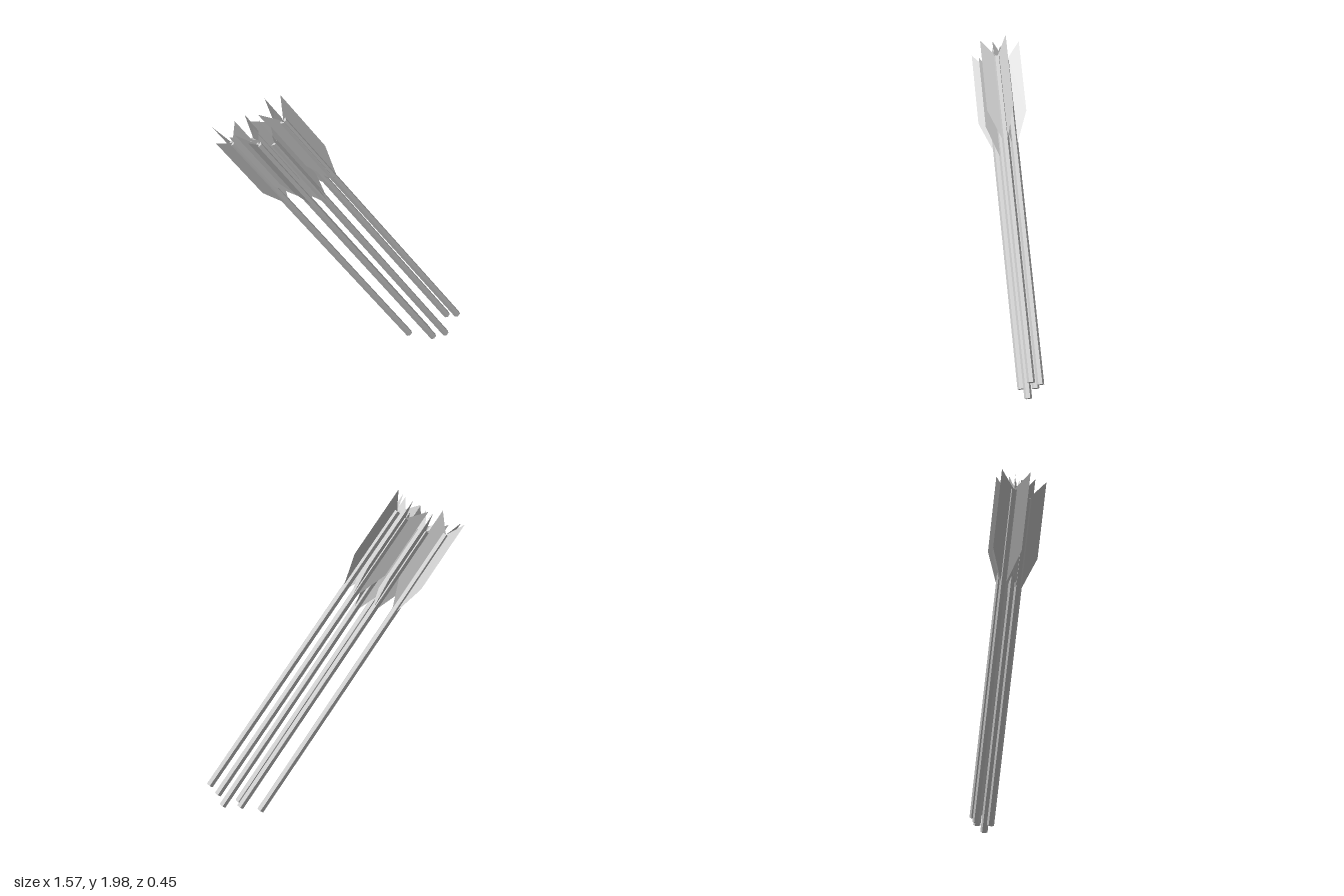
import * as THREE from 'three';

const SHAFT_LENGTH = 2.05;
const SHAFT_RADIUS = 0.023;

// Each arrow: foot position, sideways lean per unit of height, roll of its fins in degrees
const ARROWS = [
  { foot: [0.45, 0.02, -0.18], lean: 0.665, roll: 0 },
  { foot: [0.575, 0.04, -0.175], lean: 0.667, roll: -70 },
  { foot: [0.595, 0.045, -0.09], lean: 0.667, roll: -24 },
  { foot: [0.69, 0.03, -0.13], lean: 0.667, roll: -55 },
  { foot: [0.71, 0.13, -0.2], lean: 0.676, roll: -72 },
  { foot: [0.765, 0.17, -0.145], lean: 0.682, roll: -42 },
];

const material = new THREE.MeshStandardMaterial({ color: 0xcccccc, flatShading: true });
const finMaterial = new THREE.MeshStandardMaterial({ color: 0xcccccc, side: THREE.DoubleSide });

// Fin outline: x is distance from the axis, y is distance along the shaft
function finGeometry() {
  const outline = [[0, 1.47], [0.02, 1.5], [0.098, 1.695], [0.098, 2.16], [0.02, 2.07], [0, 2.05]];
  return new THREE.ShapeGeometry(new THREE.Shape(outline.map(([x, y]) => new THREE.Vector2(x, y))));
}

function createArrow({ foot, lean, roll }, shaftGeo, finGeo) {
  const arrow = new THREE.Group();
  arrow.name = 'arrow';

  const shaft = new THREE.Mesh(shaftGeo, material);
  shaft.name = 'shaft';
  arrow.add(shaft);

  // Three fins evenly spaced round the tail
  for (let i = 0; i < 3; i++) {
    const fin = new THREE.Mesh(finGeo, finMaterial);
    fin.name = 'fin';
    fin.rotation.y = -THREE.MathUtils.degToRad(roll + i * 120);
    arrow.add(fin);
  }

  // Lean the arrow back to the side, keeping its local z close to the front
  const along = new THREE.Vector3(-lean, 1, 0.122).normalize();
  const side = new THREE.Vector3().crossVectors(along, new THREE.Vector3(0, 0, 1)).normalize();
  const front = new THREE.Vector3().crossVectors(side, along);
  arrow.quaternion.setFromRotationMatrix(new THREE.Matrix4().makeBasis(side, along, front));
  arrow.position.set(...foot);
  return arrow;
}

export function createModel() {
  const model = new THREE.Group();
  model.name = 'arrowBundle';
  const shaftGeo = new THREE.CylinderGeometry(SHAFT_RADIUS, SHAFT_RADIUS, SHAFT_LENGTH, 6);
  shaftGeo.translate(0, SHAFT_LENGTH / 2, 0);
  const finGeo = finGeometry();
  for (const spec of ARROWS) model.add(createArrow(spec, shaftGeo, finGeo));
  return model;
}
